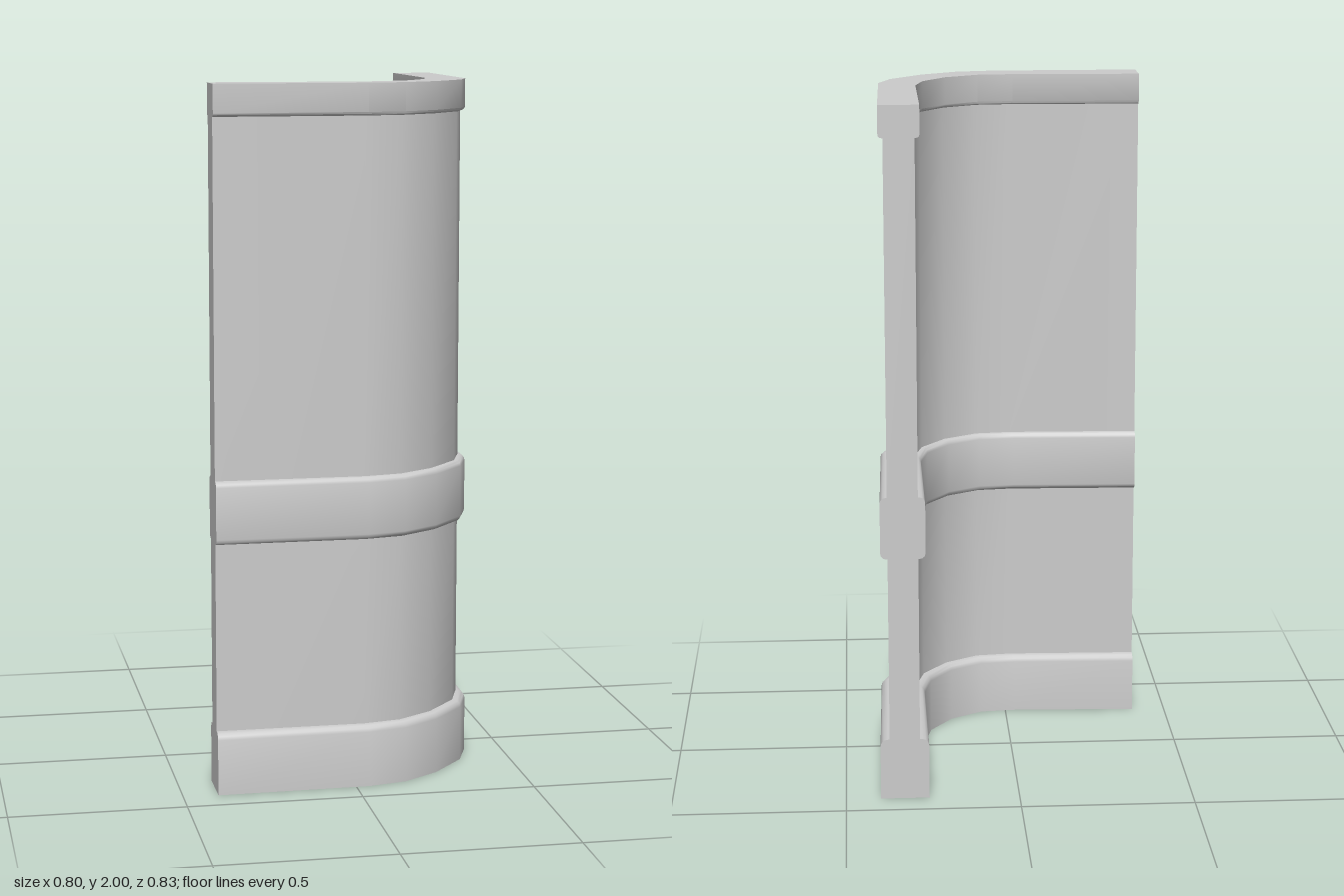
import * as THREE from 'three';
import { toCreasedNormals } from 'three/addons/utils/BufferGeometryUtils.js';

// Plan of the bend: [x, z] on the centreline, then the [x, z] reach to the outer face
const plan = [
  [-0.4, 0.343, 0, 0.07],
  [0.005, 0.347, 0.035, 0.06],
  [0.1125, 0.33, 0.0375, 0.052],
  [0.2135, 0.266, 0.0415, 0.046],
  [0.2955, 0.1635, 0.0575, 0.0365],
  [0.325, 0.0625, 0.065, 0.0375],
  [0.33, -0.415, 0.07, 0],
];
const REACH = 0.07;

// Symmetric cross-section (offset, height) with optional rounded bottom and top corners
function section(half, y0, y1, rBottom, rTop) {
  const points = [];
  const corner = (sx, sy, r, start) => {
    const y = sy < 0 ? y0 : y1;
    if (!r) return points.push([sx * half, y]);
    for (let k = 0; k <= 3; k++) {
      const a = start + (k * Math.PI) / 6;
      points.push([sx * (half - r) + r * Math.cos(a), y - sy * r + r * Math.sin(a)]);
    }
  };
  corner(1, -1, rBottom, -Math.PI / 2);
  corner(1, 1, rTop, 0);
  corner(-1, 1, rTop, Math.PI / 2);
  corner(-1, -1, rBottom, Math.PI);
  return points;
}

// Sweep a convex cross-section round the bend and close both ends
function sweep(profile) {
  const n = profile.length;
  const positions = [];
  const index = [];
  for (const [x, z, vx, vz] of plan) {
    for (const [d, y] of profile) {
      positions.push(x + (vx * d) / REACH, y, z + (vz * d) / REACH);
    }
  }
  for (let i = 0; i < plan.length - 1; i++) {
    for (let j = 0; j < n; j++) {
      const k = (j + 1) % n;
      const a = i * n + j, b = a + n, c = (i + 1) * n + k, d = i * n + k;
      index.push(a, b, c, a, c, d);
    }
  }
  const end = (plan.length - 1) * n;
  for (let j = 1; j < n - 1; j++) {
    index.push(0, j, j + 1, end, end + j + 1, end + j);
  }
  const geometry = new THREE.BufferGeometry();
  geometry.setAttribute('position', new THREE.Float32BufferAttribute(positions, 3));
  geometry.setIndex(index);
  return toCreasedNormals(geometry, 0.7);
}

export function createModel() {
  const group = new THREE.Group();
  group.name = 'curvedWallCorner';
  const plaster = new THREE.MeshStandardMaterial({ color: 0xcccccc });
  plaster.name = 'lightGrey';

  // name, half thickness, bottom, top, bottom rounding, top rounding
  const parts = [
    ['baseboard', 0.07, 0, 0.18, 0, 0.02],
    ['lowerWall', 0.0435, 0.18, 0.72, 0, 0],
    ['middleRail', 0.064, 0.72, 0.9, 0.016, 0.016],
    ['upperWall', 0.0435, 0.9, 1.91, 0, 0],
    ['topTrim', 0.057, 1.91, 2, 0.01, 0],
  ];
  for (const [name, ...size] of parts) {
    const mesh = new THREE.Mesh(sweep(section(...size)), plaster);
    mesh.name = name;
    group.add(mesh);
  }
  return group;
}
